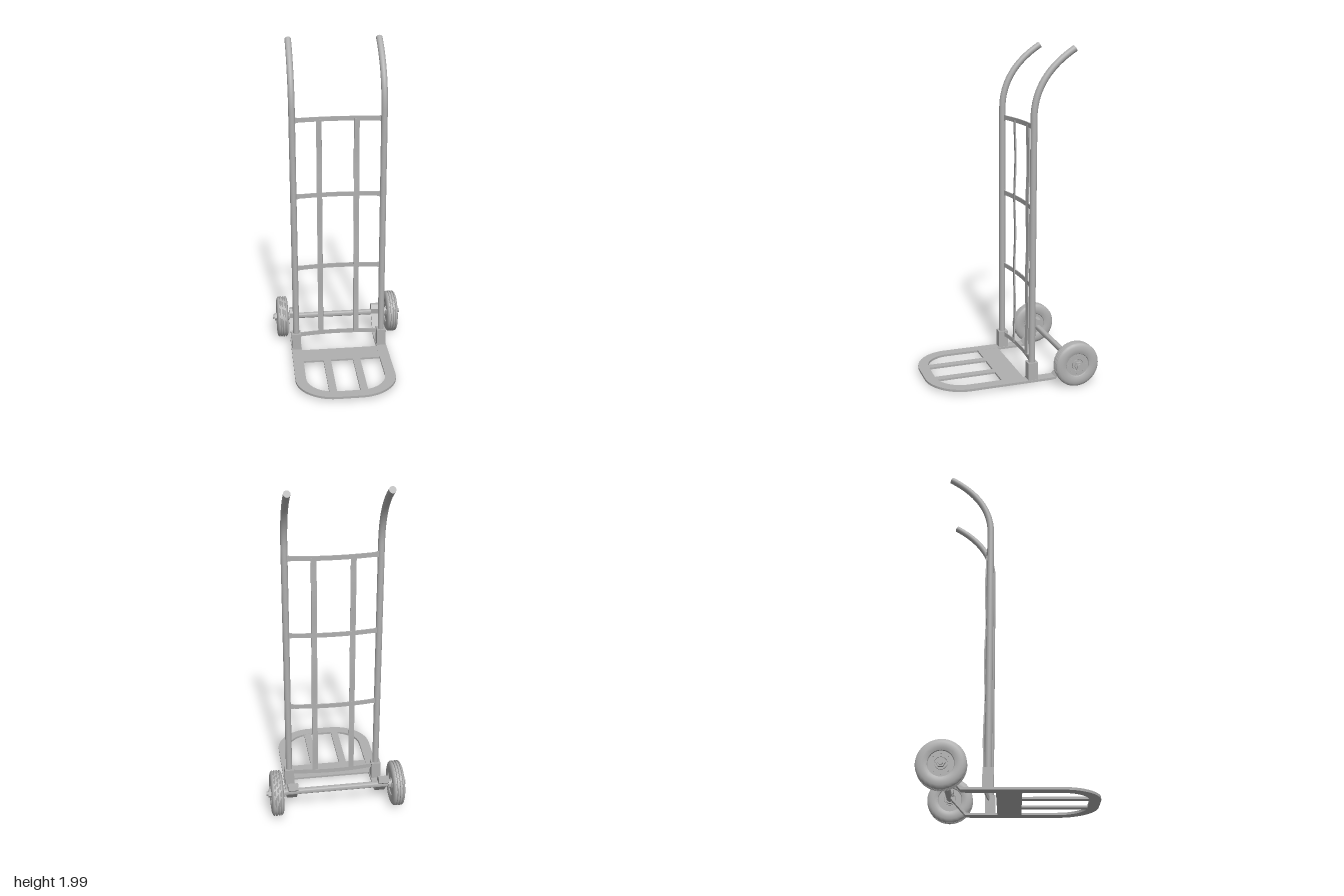
import * as THREE from 'three';
import { toCreasedNormals } from 'three/addons/utils/BufferGeometryUtils.js';

const CX = -0.011;      // centre line of the frame
const RAIL = 0.275;     // half spacing of the uprights
const AXLE_Y = 0.142, AXLE_Z = -0.36;

export function createModel() {
  const root = new THREE.Group();
  root.name = 'handTruck';
  const steel = new THREE.MeshStandardMaterial({ color: 0xb0b0b0 });
  steel.name = 'grey steel';

  const add = (name, geo, x = 0, y = 0, z = 0, parent = root) => {
    const m = new THREE.Mesh(geo, steel);
    m.name = name;
    m.position.set(x, y, z);
    parent.add(m);
    return m;
  };
  const box = (name, w, h, d, x, y, z) => add(name, new THREE.BoxGeometry(w, h, d), x, y, z);
  const rod = (name, r, len, x, y, z, sides = 24, parent = root) =>
    add(name, toCreasedNormals(new THREE.CylinderGeometry(r, r, len, sides).rotateZ(Math.PI / 2), 0.7), x, y, z, parent);

  // Toe plate rim: U-shaped flat bar, drawn in x and z
  const v = (x, z) => new THREE.Vector2(x, z);
  const rim = new THREE.Shape();
  rim.moveTo(-0.307, -0.235);
  rim.lineTo(-0.307, 0.27);
  rim.bezierCurveTo(-0.307, 0.39, -0.2, 0.49, -0.075, 0.49);
  rim.lineTo(0.075, 0.49);
  rim.bezierCurveTo(0.2, 0.49, 0.307, 0.39, 0.307, 0.27);
  rim.lineTo(0.307, -0.235);
  rim.lineTo(0.242, -0.235);
  rim.lineTo(0.242, 0.265);
  rim.bezierCurveTo(0.242, 0.355, 0.17, 0.428, 0.075, 0.428);
  rim.lineTo(-0.075, 0.428);
  rim.bezierCurveTo(-0.17, 0.428, -0.242, 0.355, -0.242, 0.265);
  rim.lineTo(-0.242, -0.235);
  rim.closePath();
  const rimGeo = new THREE.ExtrudeGeometry(rim, { depth: 0.014, bevelEnabled: false, curveSegments: 14 });
  rimGeo.rotateX(Math.PI / 2);
  add('toePlateRim', toCreasedNormals(rimGeo, 0.6), CX, 0.038, 0);

  // Toe plate cross piece and slats
  box('toePlateCrossPiece', 0.488, 0.012, 0.138, CX, 0.031, -0.008);
  for (const s of [-1, 1]) box('toePlateSlat', 0.046, 0.012, 0.38, CX + s * 0.093, 0.031, 0.245);

  // Axle bracket: bar bent up behind the frame, drawn in z and y
  const bracketShape = new THREE.Shape([
    v(-0.23, 0.024), v(-0.262, 0.026), v(-0.387, 0.165), v(-0.379, 0.196),
    v(-0.355, 0.196), v(-0.335, 0.172), v(-0.34, 0.135), v(-0.256, 0.04), v(-0.23, 0.038),
  ]);
  const bracketGeo = new THREE.ExtrudeGeometry(bracketShape, { depth: 0.062, bevelEnabled: false });
  bracketGeo.rotateY(-Math.PI / 2).translate(0.031, 0, 0);

  // Upright path: straight, then sweeping back into the handle
  const path = new THREE.CurvePath();
  const p = (y, z) => new THREE.Vector3(0, y, z);
  path.add(new THREE.LineCurve3(p(0.04, -0.118), p(1.6, -0.118)));
  path.add(new THREE.CubicBezierCurve3(p(1.6, -0.118), p(1.78, -0.118), p(1.9, -0.225), p(1.983, -0.36)));
  const railGeo = new THREE.TubeGeometry(path, 90, 0.0195, 20, false);
  const capGeo = new THREE.CircleGeometry(0.0195, 20);
  const end = path.getTangent(1);

  for (const s of [-1, 1]) {
    const x = CX + s * RAIL;
    add('axleBracket', bracketGeo, x);
    add('uprightAndHandle', railGeo, x);
    const cap = add('handleEnd', capGeo, x, 1.983, -0.36);
    cap.quaternion.setFromUnitVectors(new THREE.Vector3(0, 0, 1), end);
    box('uprightSocket', 0.057, 0.11, 0.06, x, 0.09, -0.118);
  }

  // Bowed crossbars: a flat strip bent backward, with flared welded ends
  const bowZ = (x) => -0.148 + 0.023 * Math.pow(x / 0.265, 2);
  for (const y of [0.125, 0.595, 1.07, 1.545]) {
    const g = new THREE.BoxGeometry(0.53, 0.027, 0.007, 20, 1, 1);
    const pos = g.attributes.position;
    for (let i = 0; i < pos.count; i++) {
      const x = pos.getX(i);
      pos.setZ(i, pos.getZ(i) + bowZ(x));
      if (Math.abs(x) > 0.25) pos.setY(i, pos.getY(i) * 1.45);
    }
    add('crossbar', toCreasedNormals(g, 0.6), CX, y, 0);
  }

  // Back slats, gently bowed between the crossbars
  for (const s of [-1, 1]) {
    const g = new THREE.BoxGeometry(0.033, 1.42, 0.008, 1, 48, 1);
    const pos = g.attributes.position;
    for (let i = 0; i < pos.count; i++) {
      const wave = Math.pow(Math.sin((pos.getY(i) + 0.71) / 1.42 * Math.PI * 3), 2);
      pos.setZ(i, pos.getZ(i) - 0.006 * wave);
    }
    const slat = add('backSlat', toCreasedNormals(g, 0.6), CX + s * 0.114, 0.835, -0.142);
    slat.rotation.y = s * 0.14;
  }

  // Axle
  rod('axle', 0.0185, 0.72, 0, AXLE_Y, AXLE_Z);

  // Wheels: grooved tyre, rounded sidewall and recessed hub in one profile
  const half = [
    [0.018, 0.024], [0.034, 0.024], [0.036, 0.027], [0.069, 0.027], [0.072, 0.032],
    [0.084, 0.036], [0.1, 0.037], [0.116, 0.035], [0.128, 0.03], [0.133, 0.025],
  ];
  const tread = [];
  for (const gx of [-0.016, 0, 0.016])
    tread.push([0.135, gx - 0.004], [0.128, gx - 0.002], [0.128, gx + 0.002], [0.135, gx + 0.004]);
  const profile = [
    ...half.map(([r, h]) => v(r, -h)),
    ...tread.map(([r, h]) => v(r, h)),
    ...half.slice().reverse().map(([r, h]) => v(r, h)),
  ];
  const wheelGeo = toCreasedNormals(new THREE.LatheGeometry(profile, 48).rotateZ(-Math.PI / 2), 0.55);
  for (const s of [-1, 1]) {
    const wheel = new THREE.Group();
    wheel.name = s > 0 ? 'leftWheel' : 'rightWheel';
    wheel.position.set(s * 0.364, AXLE_Y, AXLE_Z);
    root.add(wheel);
    add('tyreAndDisc', wheelGeo, 0, 0, 0, wheel);
    rod('hub', 0.033, 0.064, 0, 0, 0, 24, wheel);
    rod('innerCollar', 0.026, 0.02, -s * 0.04, 0, 0, 24, wheel);
    rod('axleNut', 0.025, 0.016, s * 0.042, 0, 0, 6, wheel);
    rod('axleTip', 0.014, 0.03, s * 0.046, 0, 0, 16, wheel);
    // Ring of small rivets on the outer disc
    for (let i = 0; i < 8; i++) {
      const a = i * Math.PI / 4;
      rod('discRivet', 0.004, 0.004, s * 0.028, Math.cos(a) * 0.055, Math.sin(a) * 0.055, 8, wheel);
    }
  }
  return root;
}
